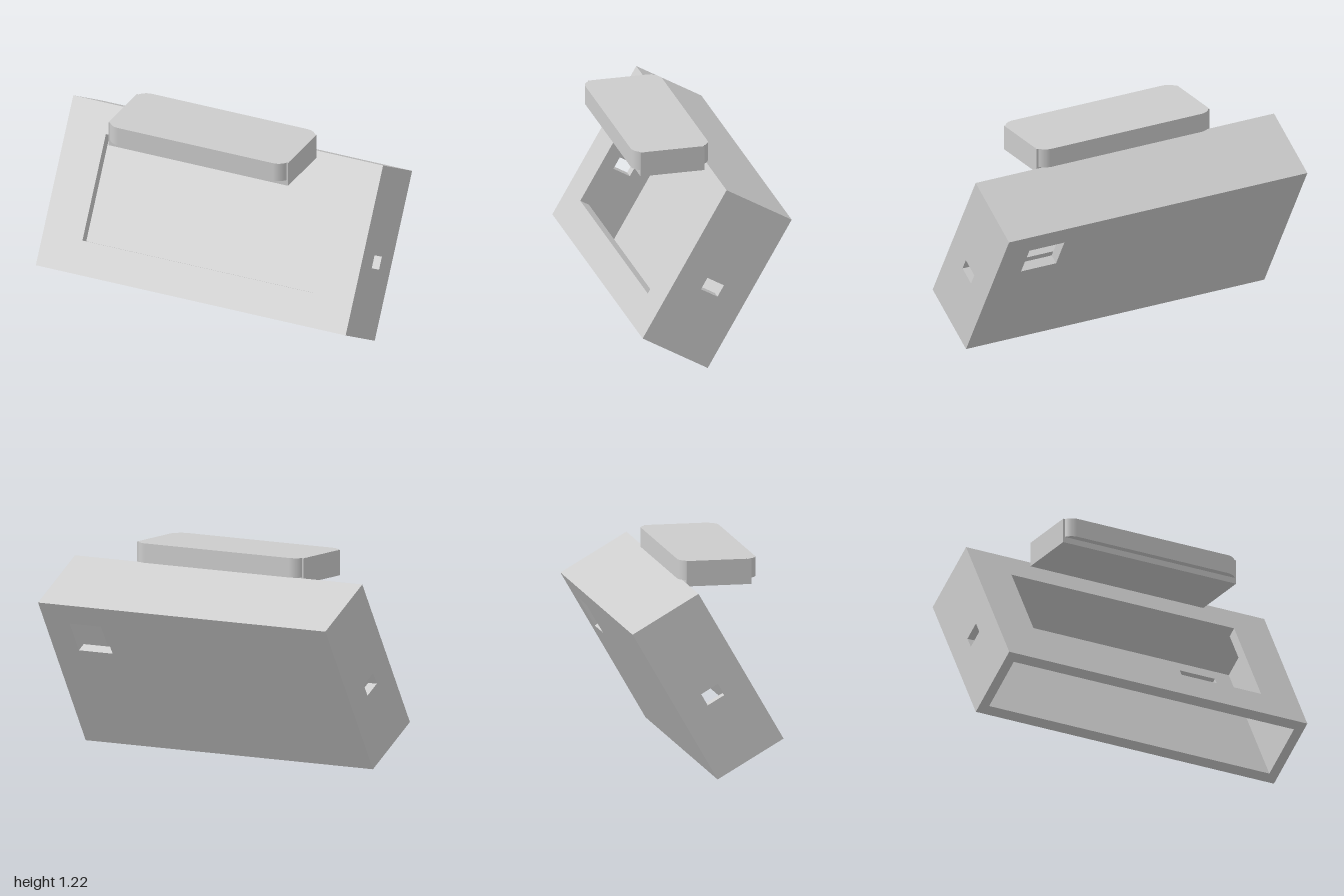
import * as THREE from 'three';

const W = 2, H = 1.014, D = 0.454, T = 0.06; // case size and wall thickness

// Rectangle as a list of corners
const rect = (x0, y0, x1, y1) => [[x0, y0], [x1, y0], [x1, y1], [x0, y1]].map(p => new THREE.Vector2(...p));

// Flat wall with one rectangular opening
function wall(outer, hole) {
  const shape = new THREE.Shape(rect(...outer));
  if (hole) shape.holes.push(new THREE.Path(rect(...hole)));
  return new THREE.ExtrudeGeometry(shape, { depth: T, bevelEnabled: false });
}

export function createModel() {
  const model = new THREE.Group();
  model.name = 'tiltedCaseWithCap';
  const grey = new THREE.MeshStandardMaterial({ color: 0xcccccc });
  grey.name = 'grey';

  const add = (parent, name, geometry, x = 0, y = 0, z = 0) => {
    const mesh = new THREE.Mesh(geometry, grey);
    mesh.name = name;
    mesh.position.set(x, y, z);
    parent.add(mesh);
    return mesh;
  };

  // Hollow case, open at the bottom, leaning back 30 degrees
  const body = new THREE.Group();
  body.name = 'case';
  body.rotation.x = -Math.PI / 6;
  body.position.z = 0.057;
  model.add(body);

  add(body, 'frontWall', wall([-W / 2, 0, W / 2, H], [-0.747, 0.2, 0.747, 0.835]), 0, 0, D - T);
  add(body, 'backWall', wall([-W / 2, 0, W / 2, H], [0.59, 0.681, 0.825, 0.878]));
  for (const [name, x] of [['leftWall', W / 2], ['rightWall', -W / 2 + T]]) {
    const side = wall([T, 0, D - T, H], [0.17, 0.412, 0.285, 0.49]);
    side.rotateY(-Math.PI / 2);
    add(body, name, side, x);
  }
  add(body, 'topWall', new THREE.BoxGeometry(W - 2 * T, T, D - 2 * T), 0, H - T / 2, D / 2);

  // Cap: plate with rounded corners over a narrower block
  const cap = new THREE.Group();
  cap.name = 'cap';
  model.add(cap);
  const hx = 0.58, hz = 0.232, r = 0.08, zc = 0.155;
  const outline = new THREE.Shape();
  outline.absarc(hx - r, hz - r, r, 0, Math.PI / 2);
  outline.absarc(-hx + r, hz - r, r, Math.PI / 2, Math.PI);
  outline.absarc(-hx + r, -hz + r, r, Math.PI, Math.PI * 1.5);
  outline.absarc(hx - r, -hz + r, r, Math.PI * 1.5, Math.PI * 2);
  const plate = new THREE.ExtrudeGeometry(outline, { depth: 0.115, bevelEnabled: false, curveSegments: 10 });
  plate.rotateX(-Math.PI / 2);
  add(cap, 'capPlate', plate, 0, 1.106, zc);
  add(cap, 'capBlock', new THREE.BoxGeometry(2 * hx, 0.15, 0.386), 0, 1.1455, zc);

  return model;
}
